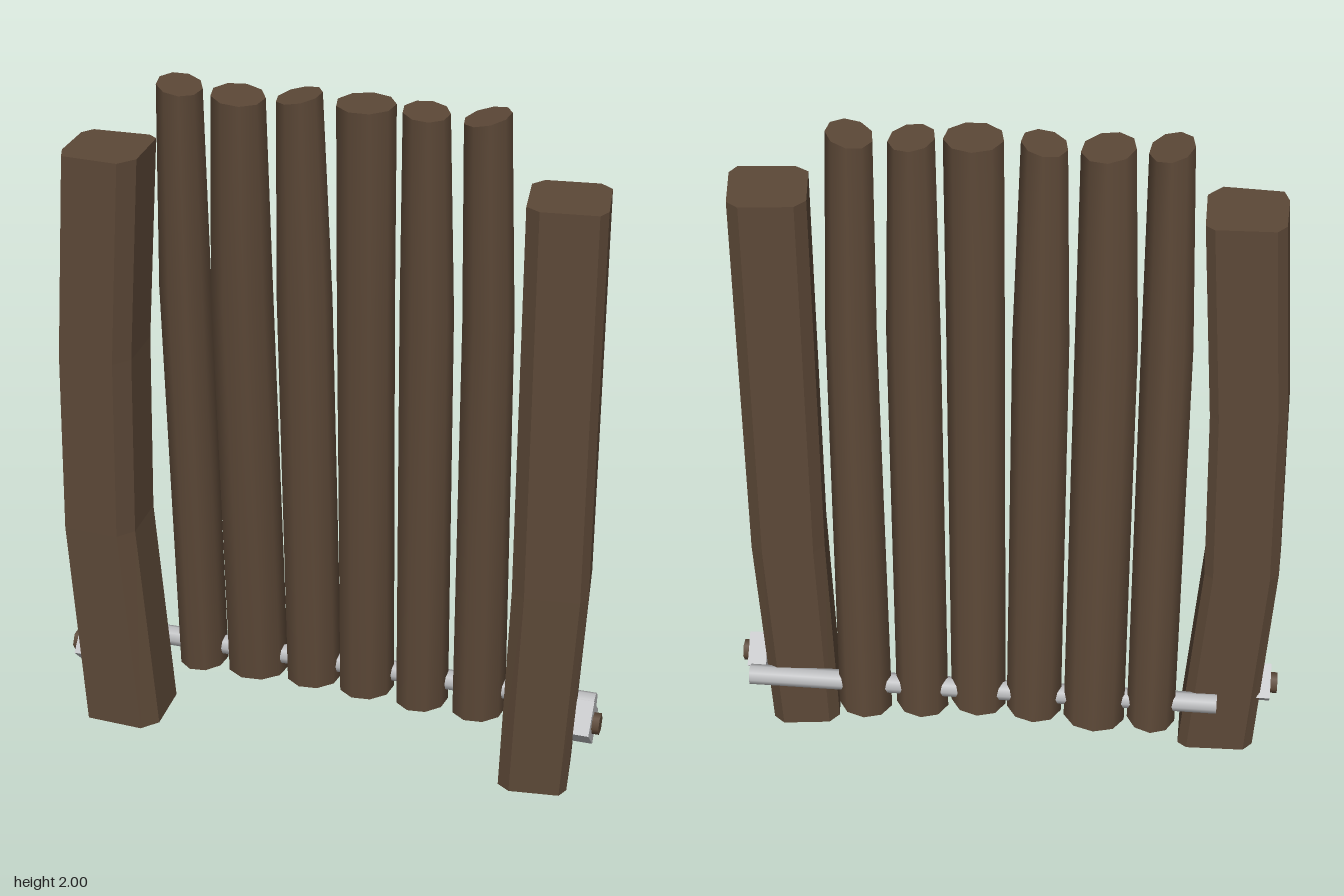
import * as THREE from 'three';

const brown = new THREE.MeshStandardMaterial({ color: 0x5c4837 });
brown.name = 'wood';
const silver = new THREE.MeshStandardMaterial({ color: 0xb9babc });
silver.name = 'steel';

// Skin a stack of rings (counterclockwise from above, lowest first) and cap both ends
function loft(rings, smooth) {
  const n = rings[0].length;
  const side = [], caps = [];
  for (let r = 0; r + 1 < rings.length; r++) {
    for (let i = 0; i < n; i++) {
      const j = (i + 1) % n, a = r * n + i, b = r * n + j;
      side.push(a, b, b + n, a, b + n, a + n);
    }
  }
  const verts = rings.flat();
  const last = (rings.length - 1) * n;
  const capStart = verts.length;
  verts.push(...rings[0], ...rings[rings.length - 1]);
  for (let i = 1; i + 1 < n; i++) {
    caps.push(capStart, capStart + i + 1, capStart + i);
    caps.push(capStart + n, capStart + n + i, capStart + n + i + 1);
  }
  let geo = new THREE.BufferGeometry();
  geo.setAttribute('position', new THREE.Float32BufferAttribute(verts.flat(), 3));
  geo.setIndex([...side, ...caps]);
  if (!smooth) geo = geo.toNonIndexed();
  geo.computeVertexNormals();
  return geo;
}

function addMesh(parent, name, geo, mat) {
  const mesh = new THREE.Mesh(geo, mat);
  mesh.name = name;
  parent.add(mesh);
  return mesh;
}

// Chamfered post outlines [x, z] at the top
const rightOutline = [[-0.515, 0.11], [-0.515, -0.045], [-0.54, -0.065], [-0.70, -0.06],
  [-0.725, -0.03], [-0.73, 0.10], [-0.715, 0.145], [-0.555, 0.155]];
const leftOutline = [[0.755, 0.105], [0.735, -0.045], [0.70, -0.072], [0.555, -0.055],
  [0.527, -0.02], [0.545, 0.13], [0.585, 0.155], [0.738, 0.138]];

// Post: [height, sideways shift, width scale] per level
function post(outline, levels) {
  const cx = outline.reduce((s, p) => s + p[0], 0) / outline.length;
  return loft(levels.map(([y, dx, s]) =>
    outline.map(([x, z]) => [cx + (x - cx) * s + dx, y, z])), false);
}

// Logs: x limits at bottom, middle and top, heights, end slants, back and front z limits
const logs = [
  { bottom: [-0.50, -0.358], mid: [-0.50, -0.358], top: [-0.48, -0.36], y0: 0.13, y1: 1.988, slant: -0.024, back: -0.155, front: 0.10 },
  { bottom: [-0.352, -0.172], mid: [-0.352, -0.18], top: [-0.33, -0.185], y0: 0.126, y1: 1.977, slant: -0.015, back: -0.16, front: 0.105 },
  { bottom: [-0.165, -0.003], mid: [-0.168, -0.012], top: [-0.155, -0.032], y0: 0.136, y1: 1.988, slant: 0.022, back: -0.148, front: 0.08 },
  { bottom: [0.0, 0.162], mid: [0.007, 0.168], top: [0.01, 0.17], y0: 0.136, y1: 1.99, slant: 0, back: -0.135, front: 0.10 },
  { bottom: [0.17, 0.325], mid: [0.18, 0.33], top: [0.188, 0.313], y0: 0.12, y1: 1.983, slant: -0.012, back: -0.14, front: 0.09 },
  { bottom: [0.337, 0.495], mid: [0.353, 0.495], top: [0.35, 0.475], y0: 0.112, y1: 1.986, slant: 0.026, back: -0.148, front: 0.09 },
];

function logRing([x0, x1], y, z0, z1, slant) {
  const sides = 9, ring = [];
  for (let i = 0; i < sides; i++) {
    const a = (i / sides) * Math.PI * 2 + 0.2;
    const c = Math.cos(a), s = Math.sin(a);
    ring.push([(x0 + x1) / 2 + c * (x1 - x0) / 2, y + c * slant / 2, (z0 + z1) / 2 - s * (z1 - z0) / 2]);
  }
  return ring;
}

export function createModel() {
  const model = new THREE.Group();
  model.name = 'logGate';

  // Side posts
  addMesh(model, 'rightPost', post(rightOutline, [[0, -0.002, 1.05], [0.65, -0.048, 1], [1.2, -0.038, 1], [1.8, 0, 1]]), brown);
  addMesh(model, 'leftPost', post(leftOutline, [[0, -0.027, 0.93], [0.65, 0, 1], [1.8, 0, 1]]), brown);

  // Leaning logs
  const fence = new THREE.Group();
  fence.name = 'logs';
  model.add(fence);
  for (const l of logs) {
    addMesh(fence, 'log', loft([
      logRing(l.bottom, l.y0, l.back, l.back + 0.155, 0.008),
      logRing(l.mid, 1.4, l.back + 0.066, l.front - 0.02, 0),
      logRing(l.top, l.y1, -0.06, l.front, l.slant),
    ], true), brown);
  }

  // Rod behind the posts
  const rod = addMesh(model, 'rod', new THREE.CylinderGeometry(0.03, 0.03, 1.38, 8), silver);
  rod.rotation.z = Math.PI / 2;
  rod.position.set(0.07, 0.19, -0.075);

  // Square nuts with bolt ends on the outer faces
  for (const side of [-1, 1]) {
    const bolt = new THREE.Group();
    bolt.name = side > 0 ? 'leftBolt' : 'rightBolt';
    bolt.position.set(0, 0.193, 0.03);
    model.add(bolt);
    const nut = addMesh(bolt, 'nut', new THREE.BoxGeometry(0.055, 0.102, 0.102), silver);
    nut.rotation.x = Math.PI / 4;
    nut.position.x = side * 0.747;
    const end = addMesh(bolt, 'boltEnd', new THREE.CylinderGeometry(0.031, 0.031, 0.09, 6).toNonIndexed(), brown);
    end.rotation.z = Math.PI / 2;
    end.position.x = side * 0.75;
  }
  return model;
}
